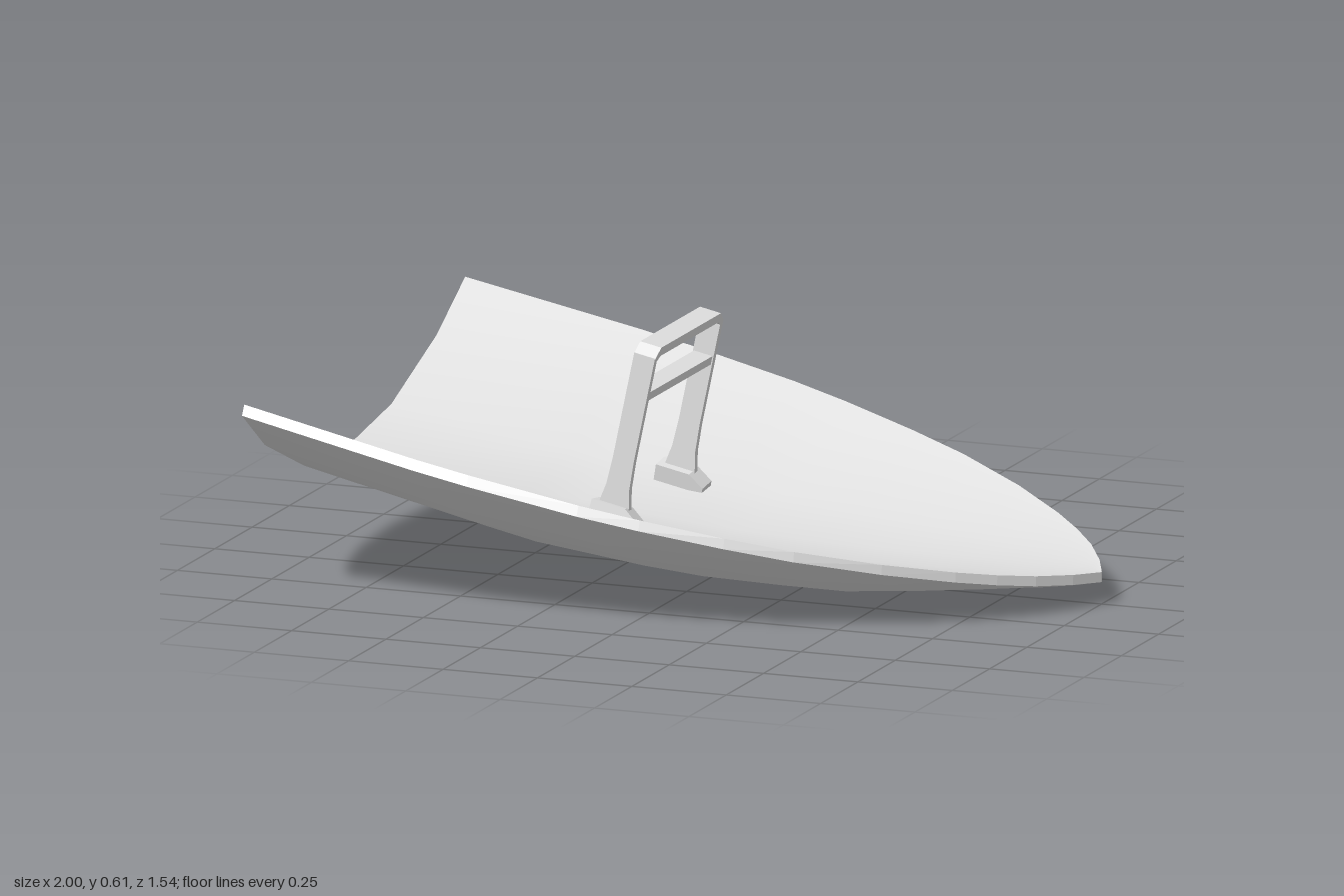
import * as THREE from 'three';

const grey = new THREE.MeshStandardMaterial({ color: 0xe2e2e2 });
grey.name = 'plain grey';

// Stations along the length: x, half width, centreline height of inner and outer face
const STATIONS = [
  [-0.978, 0.74, 0.23, 0.2], [-0.52, 0.755, 0.162, 0.091], [-0.38, 0.75, 0.146, 0.06],
  [-0.1, 0.722, 0.118, 0.025], [0.05, 0.69, 0.108, 0.011], [0.25, 0.63, 0.098, 0.006],
  [0.41, 0.568, 0.094, 0.004], [0.6, 0.46, 0.091, 0.022], [0.75, 0.345, 0.091, 0.037],
  [0.83, 0.268, 0.09, 0.045], [0.9, 0.185, 0.089, 0.052], [0.96, 0.088, 0.087, 0.057],
  [1, 0.002, 0.085, 0.06],
];
// Cross-section: fraction of half width, fraction of rise to the rim
const SECTION = [[-1, 1], [-0.77, 0.59], [-0.39, 0.167], [0, 0], [0.39, 0.167], [0.77, 0.59], [1, 1]];
const RIM_DEPTH = 0.025;

function geometryFrom(points, index) {
  const g = new THREE.BufferGeometry();
  g.setAttribute('position', new THREE.Float32BufferAttribute(points.flatMap(p => [p.x, p.y, p.z]), 3));
  g.setIndex(index);
  g.computeVertexNormals();
  return g;
}

function add(group, name, geometry) {
  const mesh = new THREE.Mesh(geometry, grey);
  mesh.name = name;
  group.add(mesh);
  return mesh;
}

function createShell() {
  const shell = new THREE.Group();
  shell.name = 'shell';
  const cols = SECTION.length, last = STATIONS.length - 1;
  const id = (i, j) => i * cols + j;

  // Two curved sheets whose rims lie in sloping planes; the shell is thickest in the middle
  const inner = [], outer = [], up = [], down = [];
  STATIONS.forEach(([x, w, innerKeel, outerKeel], i) => {
    const rim = 0.5 - 0.2096 * (x + 0.98);
    const flare = 0.016 * Math.min(1, Math.max(0.1, 0.75 - x));
    for (const [t, f] of SECTION) {
      const bow = i === 0 ? 0.02 * (1 - t * t) : 0;
      inner.push(new THREE.Vector3(x - bow, innerKeel + (rim - innerKeel) * f, w * t));
      const low = outerKeel + (rim - RIM_DEPTH - outerKeel) * f;
      outer.push(new THREE.Vector3(x - bow, low, (w + flare) * t));
    }
  });
  for (let i = 0; i < last; i++) {
    for (let j = 0; j < cols - 1; j++) {
      const a = id(i, j), b = id(i, j + 1), c = id(i + 1, j), d = id(i + 1, j + 1);
      up.push(a, b, c, b, d, c);
      down.push(a, c, b, b, c, d);
    }
  }
  add(shell, 'innerFace', geometryFrom(inner, up));
  add(shell, 'outerFace', geometryFrom(outer, down));

  // Rim: a flat strip joining both faces around the outline
  const loop = [];
  for (let i = 0; i <= last; i++) loop.push(id(i, cols - 1));
  for (let j = cols - 2; j >= 0; j--) loop.push(id(last, j));
  for (let i = last - 1; i >= 0; i--) loop.push(id(i, 0));
  for (let j = 1; j < cols - 1; j++) loop.push(id(0, j));
  const strip = [];
  loop.forEach((a, k) => {
    const b = loop[(k + 1) % loop.length];
    strip.push(outer[a], outer[b], inner[b], outer[a], inner[b], inner[a]);
  });
  add(shell, 'rim', geometryFrom(strip, strip.map((_, k) => k)));
  return shell;
}

function extrude(points, depth) {
  const shape = new THREE.Shape(points.map(([x, y]) => new THREE.Vector2(x, y)));
  return new THREE.ExtrudeGeometry(shape, { depth, bevelEnabled: false }).translate(0, 0, -depth / 2);
}

function createHandle() {
  const handle = new THREE.Group();
  handle.name = 'handle';

  // Legs flare towards wedge-shaped feet that follow the curve of the shell
  for (const [side, s] of [['left', 1], ['right', -1]]) {
    const foot = add(handle, side + 'Foot', extrude(
      [[-0.055, 0], [0.075, 0], [0.075, 0.015], [0.035, 0.042], [-0.055, 0.042]], 0.057));
    foot.position.z = s * 0.2235;
    foot.rotation.x = -s * 0.15;
    const leg = extrude([
      [-0.042, 0.03], [0.042, 0.03], [0.031, 0.09], [0.028, 0.16],
      [0.028, 0.435], [-0.028, 0.435], [-0.028, 0.16], [-0.031, 0.09],
    ], 0.018);
    add(handle, side + 'Leg', leg).position.z = s * 0.221;
  }

  // Grip with cut corners
  const grip = extrude([
    [-0.23, 0.433], [-0.2, 0.458], [0.2, 0.458], [0.23, 0.433],
    [0.212, 0.425], [0.193, 0.435], [-0.193, 0.435], [-0.212, 0.425],
  ], 0.057).rotateY(Math.PI / 2);
  add(handle, 'grip', grip);

  // Crossbar between the legs
  const bar = new THREE.BoxGeometry(0.05, 0.022, 0.43);
  add(handle, 'crossbar', bar).position.set(0, 0.33, 0);

  handle.position.set(-0.209, 0.16, 0);
  handle.rotation.z = -0.2075;
  return handle;
}

export function createModel() {
  const model = new THREE.Group();
  model.name = 'shield';
  model.add(createShell(), createHandle());
  return model;
}
